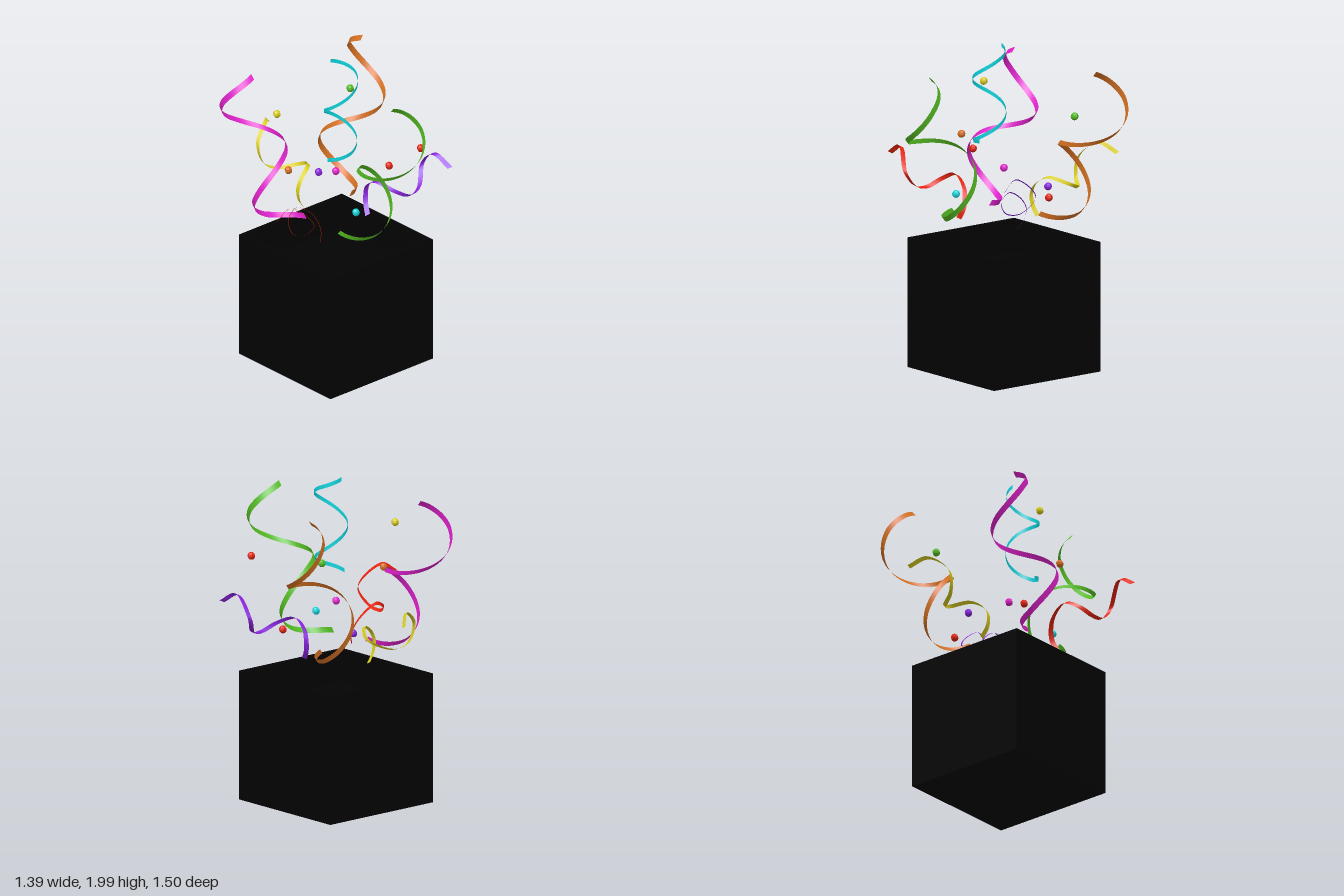
import * as THREE from 'three';

const mat = (name, color, side = THREE.FrontSide) => {
  const m = new THREE.MeshStandardMaterial({ color, side });
  m.name = name;
  return m;
};
const paint = (name, color) => mat(name, color, THREE.DoubleSide);
const V = (x, y, z) => new THREE.Vector3(x, y, z);

// Flat strip of given width, swept along points with its width along one axis
function ribbon(name, points, axis, width, material) {
  const n = 96, pos = [], idx = [];
  const curve = new THREE.CatmullRomCurve3(points);
  const half = axis.clone().normalize().multiplyScalar(width / 2);
  for (let i = 0; i <= n; i++) {
    const p = curve.getPoint(i / n);
    pos.push(...p.clone().sub(half).toArray(), ...p.clone().add(half).toArray());
    if (i < n) {
      const a = i * 2;
      idx.push(a, a + 2, a + 1, a + 1, a + 2, a + 3);
    }
  }
  const g = new THREE.BufferGeometry();
  g.setAttribute('position', new THREE.Float32BufferAttribute(pos, 3));
  g.setIndex(idx);
  g.computeVertexNormals();
  const mesh = new THREE.Mesh(g, material);
  mesh.name = name;
  return mesh;
}

// Coil of 1.75 turns around y, flattening towards both ends; the strip leans further than the coil
function coil(name, base, radius, tilt, turn, width, material) {
  const heights = [5.96, 5.4, 4.5, 3.42, 2.45, 1.4, 0.53, 0];
  const rise = new THREE.CatmullRomCurve3(heights.map((h) => V(0, h, 0)));
  const place = (v) => v.applyAxisAngle(V(1, 0, 0), -tilt).applyAxisAngle(V(0, 1, 0), turn);
  const points = [];
  for (let i = 0; i <= 56; i++) {
    const a = (i / 56) * 3.5 * Math.PI;
    const p = V(-Math.sin(a), rise.getPoint(i / 56).y, Math.cos(a)).multiplyScalar(radius);
    points.push(place(p).add(base));
  }
  const lean = tilt * 0.35;
  return ribbon(name, points, place(V(0, Math.cos(lean), -Math.sin(lean))), width, material);
}

export function createModel() {
  const group = new THREE.Group();
  const black = mat('black', 0x030303);
  const magenta = paint('magenta', 0xe022cc);
  const green = paint('green', 0x55bb22);
  const cyan = paint('cyan', 0x10d4dc);
  const orange = paint('orange', 0xd47022);
  const red = paint('red', 0xe42410);
  const purple = paint('purple', 0x8a24dd);
  const yellow = paint('yellow', 0xd8cc20);

  // Open box: square wall frame with a floor inside
  const box = new THREE.Group();
  box.name = 'box';
  const size = 0.82, height = 0.795, wall = 0.04;
  const square = (S, h) => new S([[-h, -h], [h, -h], [h, h], [-h, h]].map(([x, y]) => new THREE.Vector2(x, y)));
  const frame = square(THREE.Shape, size / 2);
  frame.holes.push(square(THREE.Path, size / 2 - wall));
  const walls = new THREE.Mesh(
    new THREE.ExtrudeGeometry(frame, { depth: height, bevelEnabled: false }).rotateX(-Math.PI / 2), black);
  walls.name = 'boxWalls';
  const inner = size - 2 * wall;
  const floor = new THREE.Mesh(new THREE.BoxGeometry(inner, 0.6, inner).translate(0, 0.3, 0), black);
  floor.name = 'boxFloor';
  box.add(walls, floor);
  box.position.set(0.048, 0, 0.022);
  group.add(box);

  // Long coiled ribbons
  group.add(
    coil('cyanRibbon', V(0.012, 1.383, 0.1), 0.1, 0.02, Math.PI, 0.025, cyan),
    coil('magentaRibbon', V(-0.3, 0.978, -0.034), 0.152, 0.5, 0, 0.038, magenta),
    coil('greenRibbon', V(0.014, 0.978, 0.26), 0.153, 0.5, Math.PI, 0.038, green),
    coil('orangeRibbon', V(0.23, 0.978, -0.232), 0.153, 0.5, -1.39, 0.038, orange));

  // Short drooping ribbons
  group.add(
    ribbon('purpleRibbon', [
      V(0.58, 1.24, 0.45), V(0.555, 1.3, 0.34), V(0.575, 1.18, 0.205), V(0.5, 1.07, 0.26), V(0.4, 1.055, 0.29),
      V(0.31, 1.1, 0.255), V(0.26, 1.14, 0.15), V(0.265, 1.09, 0.065), V(0.275, 1.03, 0.035),
      V(0.265, 0.96, 0.045), V(0.245, 0.9, 0.085),
    ], V(0.3, 0.16, 0.2), 0.031, purple),
    ribbon('redRibbon', [
      V(-0.685, 1.24, 0.305), V(-0.57, 1.3, 0.315), V(-0.445, 1.17, 0.38), V(-0.455, 1.07, 0.29),
      V(-0.46, 1.055, 0.2), V(-0.42, 1.1, 0.12), V(-0.33, 1.14, 0.09), V(-0.23, 1.08, 0.105),
      V(-0.19, 1.01, 0.13), V(-0.185, 0.95, 0.15), V(-0.205, 0.9, 0.165),
    ], V(-0.24, 0.16, 0.22), 0.031, red),
    ribbon('yellowRibbon', [
      V(0.185, 1.24, -0.74), V(0.1, 1.3, -0.665), V(-0.02, 1.2, -0.605), V(0, 1.08, -0.57), V(0.07, 1.045, -0.53),
      V(0.15, 1.07, -0.45), V(0.165, 1.1, -0.38), V(0.09, 1.14, -0.28), V(0.01, 1.09, -0.25),
      V(-0.02, 1.03, -0.245), V(-0.01, 0.96, -0.245), V(0.03, 0.9, -0.25),
    ], V(0, 0.16, -0.39), 0.03, yellow));

  // Floating confetti beads
  const bead = new THREE.SphereGeometry(0.024, 6, 6).toNonIndexed();
  bead.computeVertexNormals();
  [
    [yellow, -0.307, 1.685, -0.11], [orange, -0.342, 1.375, 0.033],
    [green, 0.395, 1.575, -0.24], [red, 0.318, 1.47, 0.48],
    [red, 0.473, 1.13, 0.022], [magenta, 0.047, 1.235, 0.022],
    [cyan, -0.05, 1.1, 0.312], [purple, 0.142, 1.1, -0.24],
  ].forEach(([m, x, y, z]) => {
    const b = new THREE.Mesh(bead, m);
    b.name = 'confettiBead';
    b.position.set(x, y, z);
    group.add(b);
  });
  return group;
}
